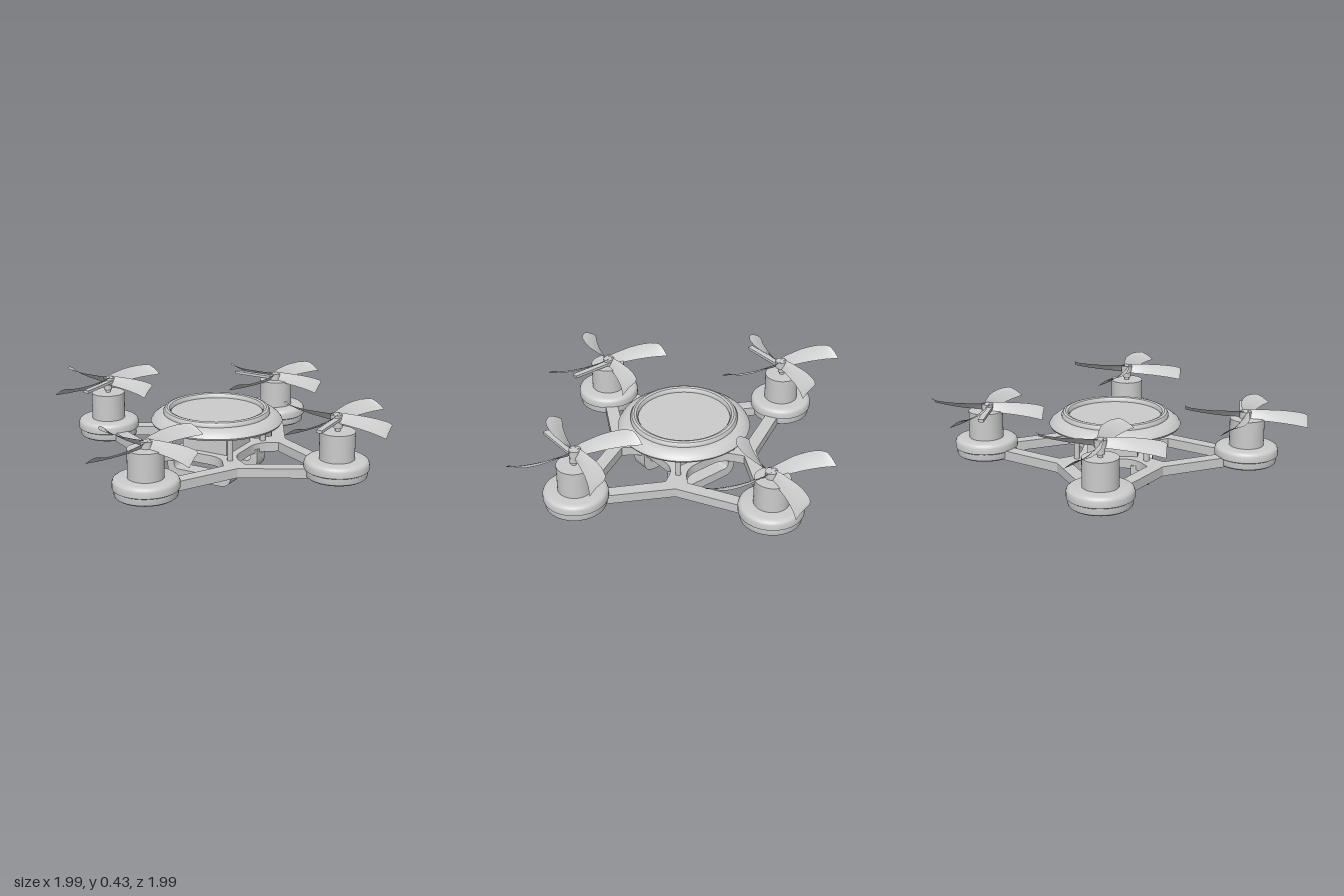
import * as THREE from 'three';
import { toCreasedNormals } from 'three/addons/utils/BufferGeometryUtils.js';

const material = new THREE.MeshStandardMaterial({ color: 0xcccccc });
const thin = new THREE.MeshStandardMaterial({ color: 0xcccccc, side: THREE.DoubleSide });

function add(parent, name, geometry, x = 0, y = 0, z = 0, mat = material) {
  const mesh = new THREE.Mesh(geometry, mat);
  mesh.name = name;
  mesh.position.set(x, y, z);
  parent.add(mesh);
  return mesh;
}

const lathe = (pts, n = 48) =>
  toCreasedNormals(new THREE.LatheGeometry(pts.map(p => new THREE.Vector2(...p)), n), 0.6);

// Flat frame: four-pointed star with an opening in front of each motor
function frameGeometry() {
  const turn = (x, y, k) => {
    for (let i = 0; i < k; i++) [x, y] = [-y, x];
    return [x, y];
  };
  const shape = new THREE.Shape();
  for (let k = 0; k < 4; k++) {
    [[0.27, 0.27], [0.09, 0.6], [-0.09, 0.6]].forEach((p, i) => {
      const q = turn(...p, k);
      k + i === 0 ? shape.moveTo(...q) : shape.lineTo(...q);
    });
    const hole = new THREE.Path();
    hole.moveTo(...turn(0.03, 0.57, k));
    hole.lineTo(...turn(0.19, 0.27, k));
    hole.lineTo(...turn(0.17, 0.24, k));
    hole.quadraticCurveTo(...turn(0.13, 0.17, k), ...turn(0.06, 0.17, k));
    hole.lineTo(...turn(-0.06, 0.17, k));
    hole.quadraticCurveTo(...turn(-0.13, 0.17, k), ...turn(-0.17, 0.24, k));
    hole.lineTo(...turn(-0.19, 0.27, k));
    hole.lineTo(...turn(-0.03, 0.57, k));
    hole.closePath();
    shape.holes.push(hole);
  }
  shape.closePath();
  return new THREE.ExtrudeGeometry(shape, { depth: 0.05, bevelEnabled: false }).rotateX(Math.PI / 2);
}

// U-shaped landing skid with rounded corners
function skidGeometry() {
  const s = new THREE.Shape();
  s.moveTo(-0.19, 0.12);
  s.lineTo(-0.19, 0.07);
  s.quadraticCurveTo(-0.19, 0, -0.12, 0);
  s.lineTo(0.12, 0);
  s.quadraticCurveTo(0.19, 0, 0.19, 0.07);
  s.lineTo(0.19, 0.12);
  s.lineTo(0.15, 0.12);
  s.lineTo(0.15, 0.08);
  s.quadraticCurveTo(0.15, 0.05, 0.12, 0.05);
  s.lineTo(-0.12, 0.05);
  s.quadraticCurveTo(-0.15, 0.05, -0.15, 0.08);
  s.lineTo(-0.15, 0.12);
  s.closePath();
  const g = new THREE.ExtrudeGeometry(s, { depth: 0.09, bevelEnabled: false, curveSegments: 10 });
  return toCreasedNormals(g.translate(0, 0, -0.045), 0.6);
}

// Swept, pitched blade along +x: each section is [radius, leading z, trailing z]
function bladeGeometry() {
  const sections = [[0.01, -0.015, 0.015], [0.06, -0.02, 0.025], [0.11, -0.02, 0.04],
    [0.16, -0.02, 0.055], [0.21, -0.012, 0.075], [0.25, 0, 0.093], [0.28, 0.012, 0.11],
    [0.3, 0.03, 0.122], [0.31, 0.045, 0.128], [0.315, 0.06, 0.13]];
  const n = 5, pos = [], index = [];
  sections.forEach(([r, lead, trail], i) => {
    for (let j = 0; j < n; j++) {
      const t = j / (n - 1);
      pos.push(r, 0.045 * (1 - t) + 0.006 * Math.sin(Math.PI * t), lead + (trail - lead) * t);
      if (i && j) {
        const a = (i - 1) * n + j - 1;
        index.push(a, a + 1, a + n, a + 1, a + n + 1, a + n);
      }
    }
  });
  const g = new THREE.BufferGeometry();
  g.setAttribute('position', new THREE.Float32BufferAttribute(pos, 3));
  g.setIndex(index);
  g.computeVertexNormals();
  return g;
}

function propeller(name, spin) {
  const group = new THREE.Group();
  group.name = name;
  const blade = bladeGeometry();
  for (let k = 0; k < 4; k++) add(group, 'blade', blade, 0, 0, 0, thin).rotation.y = k * Math.PI / 2;
  add(group, 'hub', new THREE.CylinderGeometry(0.03, 0.03, 0.04, 24), 0, 0.02, 0);
  add(group, 'bladeSpar', new THREE.BoxGeometry(0.24, 0.015, 0.03), 0.12, 0.02, -0.015);
  group.rotation.y = spin;
  return group;
}

export function createModel() {
  const model = new THREE.Group();
  model.name = 'quadcopter';

  // Frame, battery and landing skids
  add(model, 'frame', frameGeometry(), 0, 0.15, 0);
  add(model, 'batteryBox', new THREE.BoxGeometry(0.26, 0.1, 0.26), 0, 0.19, 0);
  const skid = skidGeometry();
  add(model, 'frontSkid', skid, 0, 0, 0.145);
  add(model, 'backSkid', skid, 0, 0, -0.145);

  // Posts holding the top cover
  const post = new THREE.CylinderGeometry(0.015, 0.015, 0.19, 16);
  for (const x of [-0.18, 0.18]) for (const z of [-0.18, 0.18]) add(model, 'coverPost', post, x, 0.21, z);

  // Round cover with a raised rim
  add(model, 'cover', lathe([[0, 0.3], [0.28, 0.3], [0.3, 0.285], [0.34, 0.285], [0.345, 0.295],
    [0.335, 0.31], [0.315, 0.325], [0.295, 0.333], [0.28, 0.335], [0.28, 0.345], [0.272, 0.357],
    [0.26, 0.361], [0.248, 0.357], [0.24, 0.345], [0.24, 0.335], [0, 0.335]], 64));

  // Motors and propellers: [name, x, z, propeller height, propeller spin]
  const base = lathe([[0, 0.1], [0.145, 0.1], [0.155, 0.107], [0.157, 0.115], [0.157, 0.14],
    [0.165, 0.145], [0.165, 0.175], [0.16, 0.187], [0.15, 0.194], [0.14, 0.196], [0, 0.196]]);
  const can = new THREE.CylinderGeometry(0.09, 0.09, 0.15, 40);
  [['front', 0, 0.69, 0.335, 0], ['back', 0, -0.69, 0.335, Math.PI],
    ['left', 0.69, 0, 0.385, -Math.PI / 2], ['right', -0.69, 0, 0.385, -Math.PI / 2]]
    .forEach(([side, x, z, y, spin]) => {
      const unit = new THREE.Group();
      unit.name = side + 'Rotor';
      unit.position.set(x, 0, z);
      add(unit, 'motorBase', base);
      add(unit, 'motor', can, 0, 0.265, 0);
      const h = y - 0.32;
      add(unit, 'shaft', new THREE.CylinderGeometry(0.013, 0.013, h, 16), 0, 0.33 + h / 2, 0);
      if (side === 'left' || side === 'right')
        add(unit, 'shaftCollar', new THREE.CylinderGeometry(0.022, 0.022, 0.03, 20), 0, 0.37, 0);
      const prop = propeller(side + 'Propeller', spin);
      prop.position.set(-Math.sign(x) * 0.01, y, -Math.sign(z) * 0.01);
      unit.add(prop);
      model.add(unit);
    });

  return model;
}
